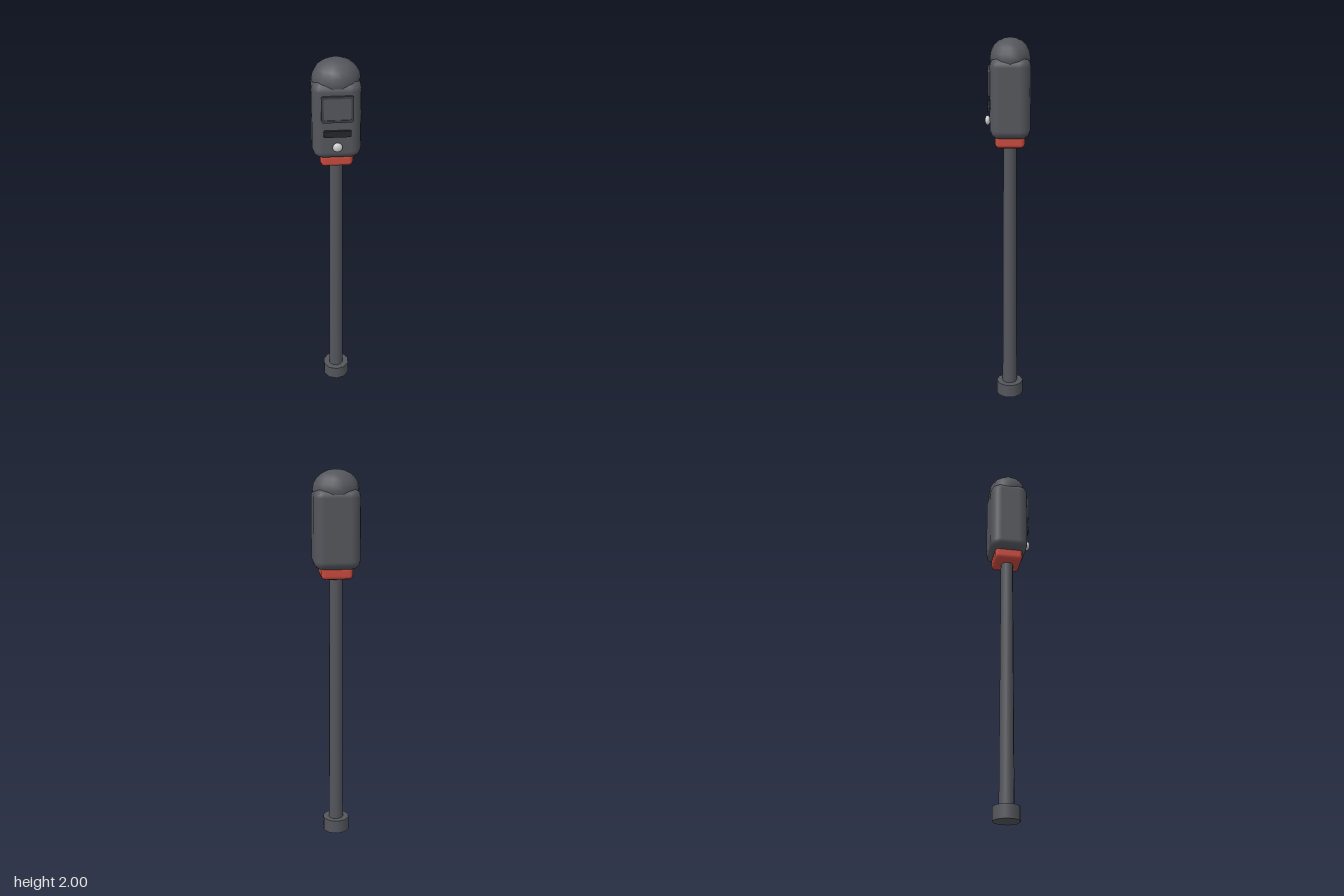
import * as THREE from 'three';
import { RoundedBoxGeometry } from 'three/addons/geometries/RoundedBoxGeometry.js';

const CZ = -0.013; // axis of post and housing

// Rounded rectangle outline centred on the origin
function roundedRect(Type, w, h, r) {
  const s = new Type(), x = w / 2, y = h / 2, q = Math.PI / 2;
  s.absarc(x - r, y - r, r, 0, q);
  s.absarc(-x + r, y - r, r, q, 2 * q);
  s.absarc(-x + r, -y + r, r, 2 * q, 3 * q);
  s.absarc(x - r, -y + r, r, 3 * q, 4 * q);
  s.closePath();
  return s;
}

export function createModel() {
  const group = new THREE.Group();
  group.name = 'parkingMeter';

  const material = (name, color) => {
    const m = new THREE.MeshStandardMaterial({ color });
    m.name = name;
    return m;
  };
  const grey = material('slateGrey', 0x54565c);
  const red = material('collarRed', 0xc8493e);
  const black = material('slotBlack', 0x25262a);
  const dark = material('frameGrey', 0x3e4045);
  const silver = material('buttonSilver', 0xcfcfcf);

  const add = (name, geometry, mat, x, y, z) => {
    const mesh = new THREE.Mesh(geometry, mat);
    mesh.name = name;
    mesh.position.set(x, y, z);
    group.add(mesh);
    return mesh;
  };

  // Foot and slightly tapered post
  add('foot', new THREE.CylinderGeometry(0.073, 0.073, 0.074, 10), grey, 0, 0.037, CZ);
  add('post', new THREE.CylinderGeometry(0.034, 0.04, 1.4, 10), grey, 0, 0.76, CZ);

  // Collar between post and housing
  add('collar', new RoundedBoxGeometry(0.166, 0.07, 0.153, 1, 0.022), red, 0, 1.476, CZ);

  // Housing and domed cap
  const housing = new RoundedBoxGeometry(0.244, 0.5, 0.208, 2, 0.056);
  housing.scale(1, 0.84, 1);
  add('housing', housing, grey, 0, 1.702, CZ - 0.001);
  const cap = add('domeCap', new THREE.SphereGeometry(1, 14, 10), grey, 0, 1.9, CZ - 0.001);
  cap.scale.set(0.121, 0.1, 0.105);

  // Display frame with its panel
  const frameShape = roundedRect(THREE.Shape, 0.158, 0.14, 0.012);
  frameShape.holes.push(roundedRect(THREE.Path, 0.134, 0.114, 0.008));
  const frame = new THREE.ExtrudeGeometry(frameShape, { depth: 0.018, bevelEnabled: false, curveSegments: 3 });
  add('displayFrame', frame, dark, 0, 1.78, 0.082);
  add('displayPanel', new THREE.BoxGeometry(0.136, 0.116, 0.014), grey, 0, 1.78, 0.09);

  // Coin slot and push button
  const slot = new THREE.ExtrudeGeometry(roundedRect(THREE.Shape, 0.136, 0.034, 0.006),
    { depth: 0.02, bevelEnabled: false, curveSegments: 3 });
  add('coinSlot', slot, black, 0, 1.648, 0.082);
  const button = add('button', new THREE.SphereGeometry(1, 12, 8), silver, 0, 1.575, 0.102);
  button.scale.set(0.025, 0.025, 0.014);

  return group;
}
